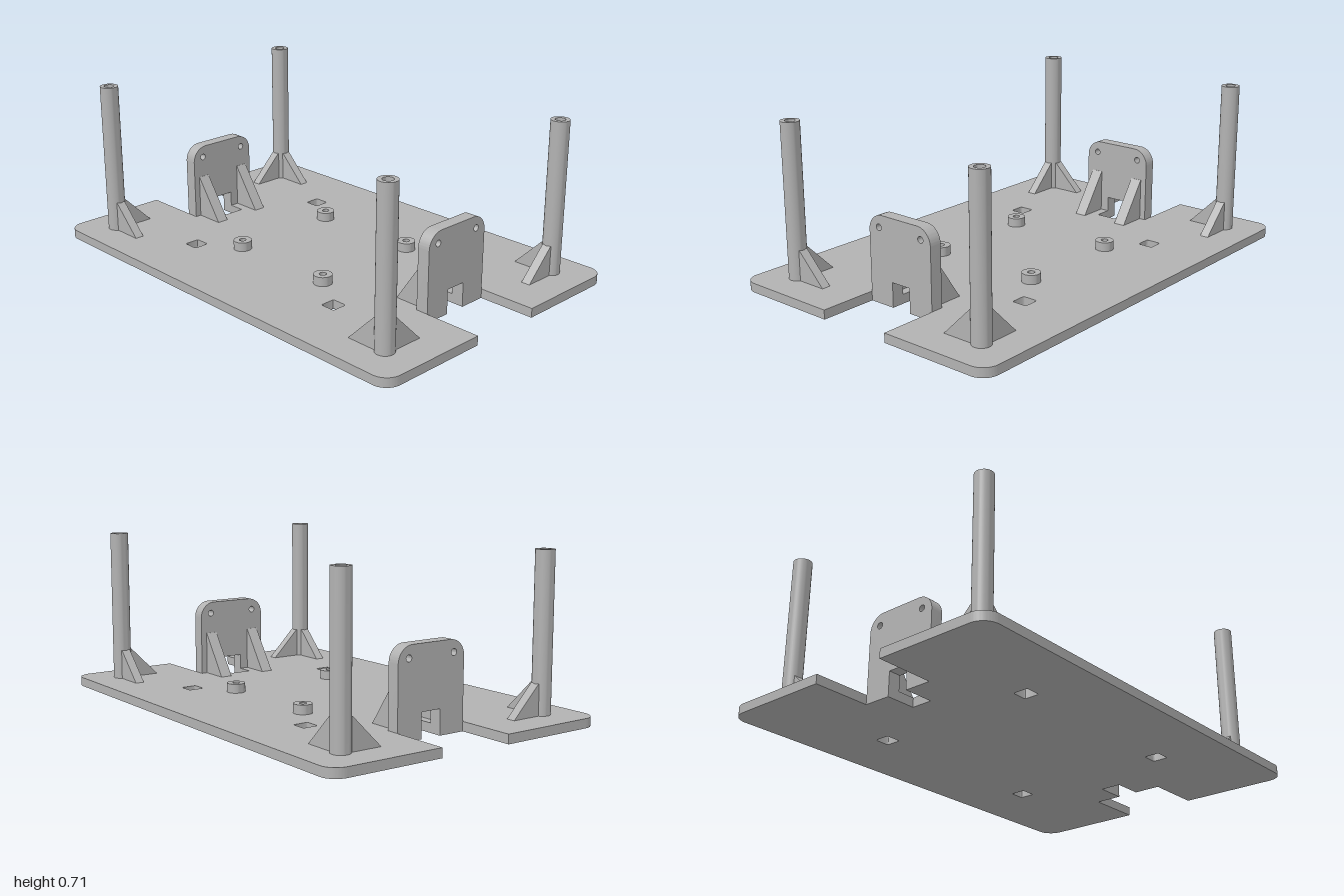
import * as THREE from 'three';
import { toCreasedNormals } from 'three/addons/utils/BufferGeometryUtils.js';

const T = 0.04; // base plate thickness

// Rounded rectangle path centred on (cx, cy)
function roundedHole(cx, cy, half, r) {
  const p = new THREE.Path();
  const corners = [[1, 1, 0], [-1, 1, 1], [-1, -1, 2], [1, -1, 3]];
  for (const [sx, sy, q] of corners) {
    p.absarc(cx + sx * (half - r), cy + sy * (half - r), r, q * Math.PI / 2, (q + 1) * Math.PI / 2, false);
  }
  p.closePath();
  return p;
}

function extrude(shape, depth) {
  const g = new THREE.ExtrudeGeometry(shape, { depth, bevelEnabled: false, curveSegments: 10 });
  return toCreasedNormals(g, 0.6);
}

// Flat plate with rounded corners, stepped side notches and four square holes
function plateGeometry() {
  const X = 1, Z = 0.667, r = 0.07, P = Math.PI / 2;
  const notch = [[1, 0.167], [0.691, 0.167], [0.691, 0.047], [0.614, 0.047]];
  const s = new THREE.Shape();
  s.moveTo(-X + r, -Z);
  s.absarc(X - r, -Z + r, r, -P, 0, false);
  notch.forEach(([x, z]) => s.lineTo(x, -z));
  [...notch].reverse().forEach(([x, z]) => s.lineTo(x, z));
  s.absarc(X - r, Z - r, r, 0, P, false);
  s.absarc(-X + r, Z - r, r, P, 2 * P, false);
  notch.forEach(([x, z]) => s.lineTo(-x, z));
  [...notch].reverse().forEach(([x, z]) => s.lineTo(-x, -z));
  s.absarc(-X + r, -Z + r, r, 2 * P, 3 * P, false);
  for (const sx of [-1, 1]) for (const sz of [-1, 1]) {
    s.holes.push(roundedHole(sx * 0.433, sz * 0.37, 0.034, 0.008));
  }
  return extrude(s, T).rotateX(-P);
}

// Upright end bracket: arched top, two screw holes, slot at the foot
function bracketGeometry() {
  const w = 0.167, h = 0.375, r = 0.07, thick = 0.056;
  const s = new THREE.Shape();
  s.moveTo(0.047, 0);
  s.lineTo(w, 0);
  s.absarc(w - r, h - r, r, 0, Math.PI / 2, false);
  s.absarc(-w + r, h - r, r, Math.PI / 2, Math.PI, false);
  s.lineTo(-w, 0);
  s.lineTo(-0.047, 0);
  s.lineTo(-0.047, 0.107);
  s.lineTo(0.047, 0.107);
  s.closePath();
  for (const side of [-1, 1]) {
    const hole = new THREE.Path();
    hole.absarc(side * 0.114, 0.323, 0.014, 0, Math.PI * 2, true);
    s.holes.push(hole);
  }
  return extrude(s, thick).translate(0, 0, -thick / 2).rotateY(Math.PI / 2);
}

// Hollow round post with a blind bore, standing on y = 0
function tubeGeometry(outer, inner, height, boreBottom) {
  const pts = [[outer, 0], [outer, height], [inner, height], [inner, boreBottom], [0, boreBottom]];
  const g = new THREE.LatheGeometry(pts.map(([x, y]) => new THREE.Vector2(x, y)), 32);
  return toCreasedNormals(g, 0.6);
}

// Triangular rib running along +x, from x = start to x = end
function ribGeometry(start, top, end, rise, width) {
  const s = new THREE.Shape();
  s.moveTo(start, 0);
  s.lineTo(end, 0);
  s.lineTo(top, rise);
  s.lineTo(start, rise);
  s.closePath();
  return extrude(s, width).translate(0, 0, -width / 2);
}

export function createModel() {
  const model = new THREE.Group();
  model.name = 'mountingTray';
  const grey = new THREE.MeshStandardMaterial({ color: 0xb2b2b2 });
  grey.name = 'grey plastic';

  const add = (parent, name, geometry, x = 0, y = 0, z = 0, turn = 0) => {
    const m = new THREE.Mesh(geometry, grey);
    m.name = name;
    m.position.set(x, y, z);
    m.rotation.y = turn;
    parent.add(m);
  };

  add(model, 'basePlate', plateGeometry());

  const post = tubeGeometry(0.04, 0.022, 0.71 - T, 0.3);
  const standoff = tubeGeometry(0.04, 0.015, 0.08 - T, 0.002);
  const postRib = ribGeometry(0.03, 0.038, 0.17, 0.132, 0.04);
  const bracketRib = ribGeometry(0, 0.001, 0.131, 0.19, 0.053);
  const bracket = bracketGeometry();

  for (const sx of [-1, 1]) {
    const side = sx > 0 ? 'left' : 'right';
    const inward = sx > 0 ? Math.PI : 0;

    // End bracket with its two inner ribs
    const end = new THREE.Group();
    end.name = side + 'EndBracket';
    add(end, 'bracketPlate', bracket, sx * 0.719);
    for (const sz of [-1, 1]) add(end, 'bracketRib', bracketRib, sx * 0.691, T, sz * 0.113, inward);
    model.add(end);

    // Corner posts with two ribs each, and the small standoffs
    for (const sz of [-1, 1]) {
      const corner = new THREE.Group();
      corner.name = side + (sz > 0 ? 'Front' : 'Back') + 'Post';
      corner.position.set(sx * 0.84, T, sz * 0.507);
      add(corner, 'postTube', post);
      add(corner, 'sideRib', postRib, 0, 0, 0, inward);
      add(corner, 'lengthRib', postRib, 0, 0, 0, sz * Math.PI / 2);
      model.add(corner);
      add(model, 'standoff', standoff, sx * 0.253, T, sz * 0.254);
    }
  }
  return model;
}
